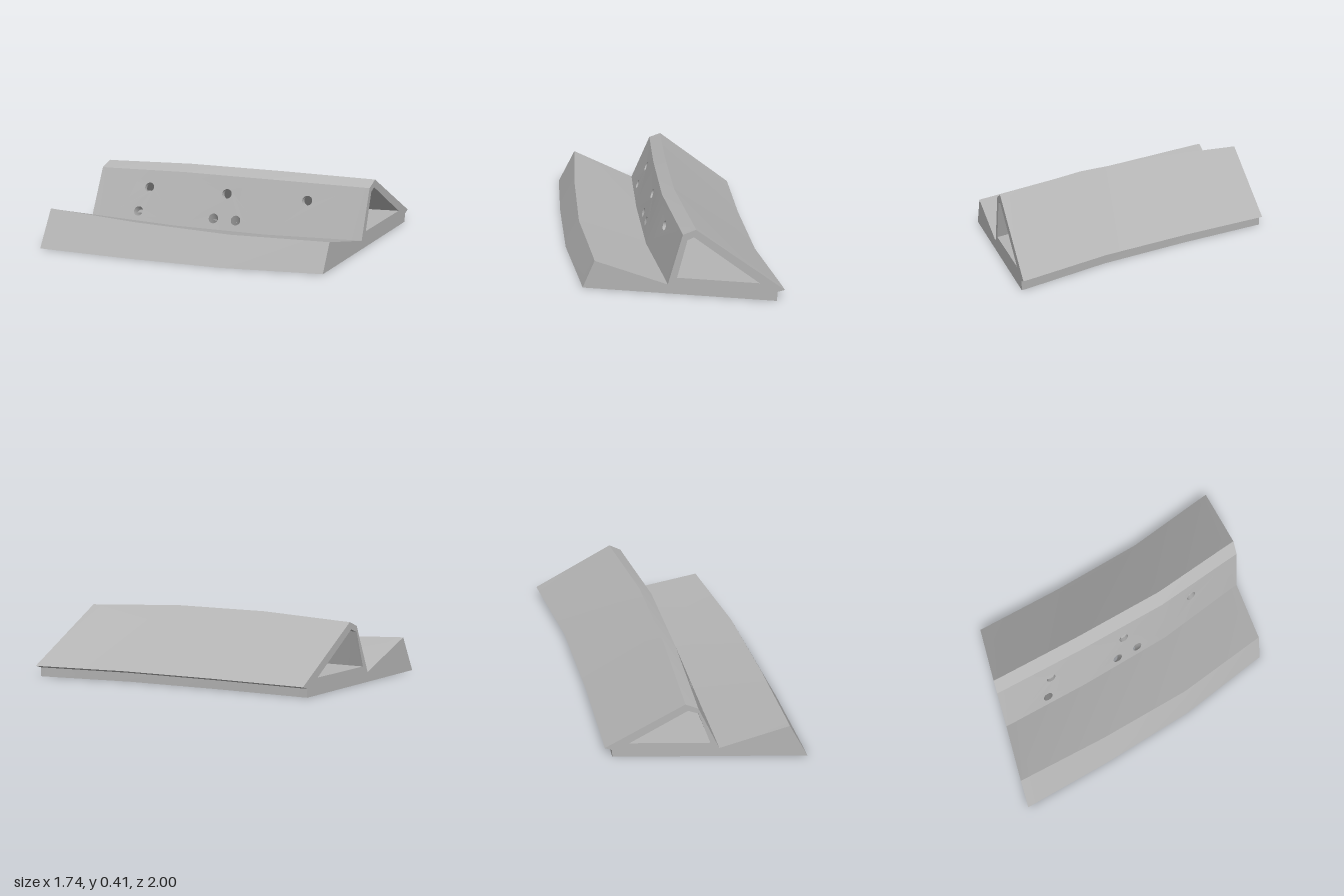
import * as THREE from 'three';
import { mergeGeometries, mergeVertices } from 'three/addons/utils/BufferGeometryUtils.js';

// Stations along the length, and how far the body bows and crowns at each
const STATIONS = [0, 0.04, 0.33, 0.67, 0.965, 1];
const BOW = [0, 0.005, 0.035, 0.048, 0.004, 0];
const CROWN = [0, 0.1, 1, 1, 0.1, 0];
const SKEW = 0.252;

// Lengthwise edges: z and y at the right end, z and y at the left end, crown height
const RAILS = {
  bottomFront: [1, 0, 0.10, 0, 0],
  lipTop: [0.89, 0.22, 0.03, 0.17, -0.01],
  groove: [0.51, 0.06, -0.37, 0.055, 0],
  ridgeFront: [0.39, 0.35, -0.45, 0.36, 0.02],
  ridgeBack: [0.32, 0.38, -0.52, 0.395, 0.024],
  backTip: [-0.12, 0.065, -1, 0.07, 0],
  backStep: [-0.08, 0.05, -0.96, 0.055, 0],
  bottomBack: [-0.08, 0, -0.96, 0, 0],
  tunnelFront: [0.46, 0.10, -0.42, 0.10, 0],
  tunnelBack: [0.015, 0.10, -0.865, 0.10, 0],
  tunnelTopBack: [0.335, 0.335, -0.51, 0.35, 0.02],
  tunnelTopFront: [0.39, 0.315, -0.475, 0.33, 0.02],
};
const OUTER = ['bottomFront', 'lipTop', 'groove', 'ridgeFront', 'ridgeBack', 'backTip', 'backStep', 'bottomBack'];
const TUNNEL = ['tunnelFront', 'tunnelBack', 'tunnelTopBack', 'tunnelTopFront'];

// Point on a rail at fraction u of its length
function railPoint(name, u) {
  const [zA, yA, zB, yB, crown] = RAILS[name];
  let i = 0;
  while (i < STATIONS.length - 2 && u > STATIONS[i + 1]) i++;
  const t = (u - STATIONS[i]) / (STATIONS[i + 1] - STATIONS[i]);
  const bow = THREE.MathUtils.lerp(BOW[i], BOW[i + 1], t);
  const rise = crown * THREE.MathUtils.lerp(CROWN[i], CROWN[i + 1], t);
  const xA = -0.59 + SKEW * (zA - 1), xB = 0.865 + SKEW * (zB - 0.1);
  return new THREE.Vector3(
    THREE.MathUtils.lerp(xA, xB, u) + SKEW * bow,
    THREE.MathUtils.lerp(yA, yB, u) + rise,
    THREE.MathUtils.lerp(zA, zB, u) + bow);
}
const surfacePoint = (a, b, u, v) => railPoint(a, u).lerp(railPoint(b, u), v);

// Outline of a round hole in a panel's own u, v coordinates
const HOLE_SIDES = 20;
function holeRing([u, v], rv, flip = 1) {
  return Array.from({ length: HOLE_SIDES }, (_, k) => {
    const a = (k / HOLE_SIDES) * Math.PI * 2;
    return new THREE.Vector2(u + 0.0176 * Math.cos(a), v + flip * rv * Math.sin(a));
  });
}

function finish(geometry) {
  geometry.deleteAttribute('uv');
  geometry.deleteAttribute('normal');
  const merged = mergeVertices(geometry, 1e-5);
  merged.computeVertexNormals();
  return merged;
}

// Long face between two rails, pierced by holes
function panelGeometry(a, b, holes = [], rv = 0) {
  const pieces = [];
  for (let i = 0; i < STATIONS.length - 1; i++) {
    const u0 = STATIONS[i], u1 = STATIONS[i + 1];
    const shape = new THREE.Shape([[u0, 0], [u1, 0], [u1, 1], [u0, 1]].map(p => new THREE.Vector2(...p)));
    for (const h of holes) {
      if (h[0] > u0 && h[0] < u1) shape.holes.push(new THREE.Path(holeRing(h, rv)));
    }
    const g = new THREE.ShapeGeometry(shape);
    const pos = g.attributes.position;
    for (let k = 0; k < pos.count; k++) {
      const p = surfacePoint(a, b, pos.getX(k), pos.getY(k));
      pos.setXYZ(k, p.x, p.y, p.z);
    }
    pieces.push(g);
  }
  return finish(mergeGeometries(pieces));
}

// End face with the triangular tunnel mouth
function capGeometry(u, dir) {
  const outline = names => names.map(n => {
    const p = railPoint(n, u);
    return new THREE.Vector2(dir * p.z, p.y);
  });
  const shape = new THREE.Shape(outline(OUTER));
  shape.holes.push(new THREE.Path(outline(TUNNEL)));
  const g = new THREE.ShapeGeometry(shape);
  const pos = g.attributes.position;
  const ref = railPoint('bottomFront', u);
  for (let k = 0; k < pos.count; k++) {
    const z = dir * pos.getX(k);
    pos.setXYZ(k, ref.x + SKEW * (z - ref.z), pos.getY(k), z);
  }
  return finish(g);
}

// Bore joining a hole in one panel to a hole in another
function boreGeometry(from, hole1, to, hole2) {
  const rings = [
    holeRing(hole1, from.rv).map(p => surfacePoint(from.a, from.b, p.x, p.y)),
    holeRing(hole2, to.rv, -1).map(p => surfacePoint(to.a, to.b, p.x, p.y)),
  ];
  const g = new THREE.BufferGeometry().setFromPoints(rings.flat());
  const index = [];
  for (let k = 0; k < HOLE_SIDES; k++) {
    const n = (k + 1) % HOLE_SIDES;
    index.push(k, n, k + HOLE_SIDES, n, n + HOLE_SIDES, k + HOLE_SIDES);
  }
  g.setIndex(index);
  g.computeVertexNormals();
  return g;
}

export function createModel() {
  const model = new THREE.Group();
  model.name = 'ridgedWedgeBlock';
  const grey = new THREE.MeshStandardMaterial({ color: 0xb4b4b4, side: THREE.DoubleSide });
  grey.name = 'plainGrey';
  const add = (name, geometry) => {
    const mesh = new THREE.Mesh(geometry, grey);
    mesh.name = name;
    model.add(mesh);
  };

  // Hole positions: upper ones enter the tunnel, lower ones run down to the base
  const upper = [[0.205, 0.67], [0.505, 0.67], [0.795, 0.67]];
  const lower = [[0.179, 0.2], [0.47, 0.2], [0.553, 0.2]];
  const inner = upper.map(([u, v]) => [u, 1 - v]);
  const floor = [[0.165, 0.33], [0.49, 0.2], [0.78, 0.1]];
  const baseUpper = [[0.16, 0.32], [0.487, 0.39], [0.78, 0.45]];
  const baseLower = [[0.19, 0.43], [0.462, 0.48], [0.535, 0.49]];

  // Faces that carry holes
  const wall = { a: 'groove', b: 'ridgeFront', rv: 0.09, holes: [...upper, ...lower] };
  const base = { a: 'bottomBack', b: 'bottomFront', rv: 0.027, holes: [...baseUpper, ...baseLower] };
  const tunnelWall = { a: 'tunnelTopFront', b: 'tunnelFront', rv: 0.13, holes: inner };
  const tunnelFloor = { a: 'tunnelFront', b: 'tunnelBack', rv: 0.065, holes: floor };
  const holed = { ridgeWall: wall, base, tunnelWall, tunnelFloor };
  for (const [name, f] of Object.entries(holed)) add(name, panelGeometry(f.a, f.b, f.holes, f.rv));

  // Plain long faces
  const plain = {
    frontLip: ['bottomFront', 'lipTop'],
    grooveSlope: ['lipTop', 'groove'],
    ridgeBevel: ['ridgeFront', 'ridgeBack'],
    backSlope: ['ridgeBack', 'backTip'],
    backOverhang: ['backTip', 'backStep'],
    backEdge: ['backStep', 'bottomBack'],
    tunnelSlope: ['tunnelBack', 'tunnelTopBack'],
    tunnelCrown: ['tunnelTopBack', 'tunnelTopFront'],
  };
  for (const [name, [a, b]] of Object.entries(plain)) add(name, panelGeometry(a, b));

  // End faces
  add('rightEnd', capGeometry(0, 1));
  add('leftEnd', capGeometry(1, -1));

  // Bores
  for (let i = 0; i < 3; i++) {
    add('wallBore', boreGeometry(wall, upper[i], tunnelWall, inner[i]));
    add('floorBore', boreGeometry(tunnelFloor, floor[i], base, baseUpper[i]));
    add('baseBore', boreGeometry(wall, lower[i], base, baseLower[i]));
  }
  return model;
}
